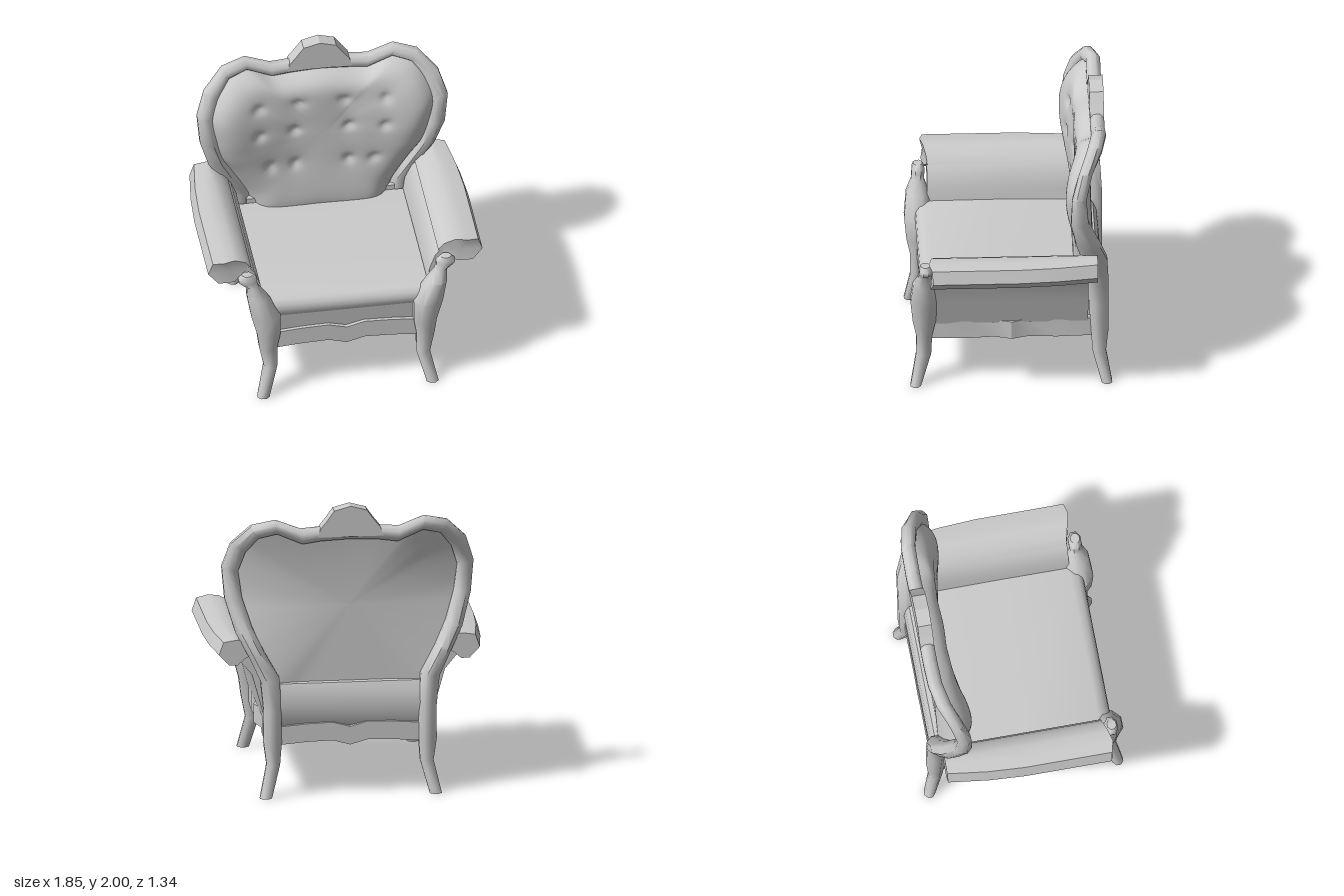
import * as THREE from 'three';
import { toCreasedNormals } from 'three/addons/utils/BufferGeometryUtils.js';

const material = new THREE.MeshStandardMaterial({ color: 0xcccccc });
const thin = new THREE.MeshStandardMaterial({ color: 0xcccccc, side: THREE.DoubleSide });

// Skin a list of equal-length rings, cap both ends, and make the faces point outward.
function loft(rings, crease = 0.75) {
  const n = rings[0].length, p = rings.flat(), tris = [];
  for (let i = 0; i < rings.length - 1; i++) {
    for (let j = 0; j < n; j++) {
      const a = i * n + j, b = i * n + (j + 1) % n;
      tris.push([a, b, b + n], [a, b + n, a + n]);
    }
  }
  for (const [start, flip] of [[0, true], [(rings.length - 1) * n, false]]) {
    const shape = rings[start / n];
    const mid = shape.reduce((s, v) => s.add(v), new THREE.Vector3()).divideScalar(n);
    const m = p.push(mid) - 1;
    for (let j = 0; j < n; j++) {
      const a = start + j, b = start + (j + 1) % n;
      tris.push(flip ? [m, b, a] : [m, a, b]);
    }
  }
  let volume = 0;
  for (const [a, b, c] of tris) volume += p[a].dot(new THREE.Vector3().crossVectors(p[b], p[c]));
  if (volume < 0) tris.forEach(t => t.reverse());
  const geo = new THREE.BufferGeometry().setFromPoints(p);
  geo.setIndex(tris.flat());
  return toCreasedNormals(geo, crease);
}

// Eight-sided ring spanning outer to inner edge and front to back depth.
function octagon(ox, oy, ix, iy, zf, zb) {
  const ring = [];
  for (let k = 0; k < 8; k++) {
    const t = (k + 0.5) * Math.PI / 4, c = Math.cos(t) * 0.54, s = Math.sin(t) * 0.54;
    ring.push(new THREE.Vector3((ox + ix) / 2 + (ox - ix) * c, (oy + iy) / 2 + (oy - iy) * c,
      (zf + zb) / 2 + (zf - zb) * s));
  }
  return ring;
}

const shapeOf = pts => new THREE.Shape(pts.map(([x, y]) => new THREE.Vector2(x, y)));
const extrude = (pts, depth) =>
  new THREE.ExtrudeGeometry(shapeOf(pts), { depth, bevelEnabled: false });

// Prism along x from a (z, y) profile.
const alongX = (pts, half) => loft([-half, half].map(x =>
  pts.map(([z, y]) => new THREE.Vector3(x, y, z))), 0.9);

// Backrest outline, right half from bottom to top: x, y, edge depth.
const half = [
  [0.40, 0.6, -0.55], [0.49, 0.8, -0.56], [0.61, 1.02, -0.53], [0.70, 1.18, -0.49],
  [0.74, 1.36, -0.45], [0.765, 1.54, -0.445], [0.71, 1.69, -0.48], [0.625, 1.80, -0.54],
  [0.49, 1.835, -0.58], [0.32, 1.77, -0.58],
];
const outline = new THREE.CatmullRomCurve3([
  [0, 0.6, -0.55], ...half, [0, 1.79, -0.58],
  ...half.slice().reverse().map(([x, y, z]) => [-x, y, z]),
].map(v => new THREE.Vector3(...v)), true, 'centripetal').getPoints(120).slice(0, -1);

// Button rows of the tufting: height and distances from the middle.
const buttons = [[1.58, 0.155, 0.43], [1.365, 0.183, 0.425], [1.085, 0.18, 0.35]]
  .flatMap(([y, a, b]) => [-b, -a, a, b].map(x => [x, y]));

// Surface of concentric rings filling the outline; padded for the cushion.
function backSurface(padded) {
  const rows = padded ? 36 : 10, n = outline.length, pos = [], idx = [];
  for (let i = 0; i <= rows; i++) {
    const s = i / rows;
    for (const e of outline) {
      const x = e.x * s, y = 1.3 + (e.y - 1.3) * s;
      let z = THREE.MathUtils.lerp(-0.545, e.z, s * s);
      if (padded) {
        z += (0.105 + 0.06 * s * s) * (1 - s ** 8);
        for (const [bx, by] of buttons) {
          const d = Math.hypot(x - bx, y - by);
          z -= 0.022 * Math.exp(-((d / 0.035) ** 2)) + 0.008 * Math.exp(-((d / 0.09) ** 2));
        }
      }
      pos.push(x, y, z);
    }
  }
  for (let i = 0; i < rows; i++) {
    for (let j = 0; j < n; j++) {
      const a = i * n + j, b = i * n + (j + 1) % n;
      if (padded) idx.push(a, a + n, b + n, a, b + n, b);
      else idx.push(a, b + n, a + n, a, b, b + n);
    }
  }
  const geo = new THREE.BufferGeometry();
  geo.setAttribute('position', new THREE.Float32BufferAttribute(pos, 3));
  geo.setIndex(idx);
  geo.computeVertexNormals();
  return geo;
}

export function createModel() {
  const chair = new THREE.Group();
  chair.name = 'armchair';
  const add = (name, geo, mat = material) => {
    const mesh = new THREE.Mesh(geo, mat);
    mesh.name = name;
    chair.add(mesh);
    return mesh;
  };

  // Back legs and backrest frame in one sweep: outer x, y, inner x, y, front z, back z
  const frame = [
    [0.61, 0, 0.53, 0, -0.60, -0.67], [0.56, 0.22, 0.47, 0.22, -0.54, -0.63],
    [0.58, 0.37, 0.46, 0.37, -0.53, -0.645], [0.58, 0.6, 0.46, 0.6, -0.515, -0.645],
    [0.60, 0.8, 0.475, 0.82, -0.51, -0.645], [0.685, 0.98, 0.575, 1.0, -0.47, -0.635],
    [0.76, 1.12, 0.65, 1.16, -0.43, -0.585], [0.825, 1.34, 0.71, 1.35, -0.388, -0.505],
    [0.845, 1.56, 0.735, 1.53, -0.395, -0.49], [0.79, 1.73, 0.69, 1.67, -0.44, -0.53],
    [0.66, 1.865, 0.61, 1.78, -0.50, -0.60], [0.50, 1.905, 0.49, 1.815, -0.535, -0.63],
    [0.33, 1.84, 0.32, 1.74, -0.535, -0.63], [0.20, 1.85, 0.20, 1.757, -0.535, -0.63],
  ];
  const mirrored = frame.slice().reverse().map(([a, b, c, d, e, f]) => [-a, b, -c, d, e, f]);
  add('backFrame', loft([...frame, [0, 1.87, 0, 1.767, -0.535, -0.63], ...mirrored]
    .map(r => octagon(...r)), 0.9));

  // Crest on top of the frame
  add('crest', extrude([[-0.22, 1.79], [0.22, 1.79], [0.2, 1.85], [0.16, 1.9], [0.11, 1.97],
    [0, 2], [-0.11, 1.97], [-0.16, 1.9], [-0.2, 1.85]], 0.095)).position.z = -0.63;

  // Backrest
  add('backCushion', backSurface(true), thin);
  add('backPanel', backSurface(false), thin);
  add('lowerBackPad', alongX([[-0.5, 0.47], [-0.58, 0.47], [-0.605, 0.53], [-0.615, 0.62],
    [-0.605, 0.71], [-0.58, 0.77], [-0.5, 0.78]], 0.5));

  // Seat
  add('seatCushion', alongX([[-0.5, 0.6], [-0.5, 0.745], [0, 0.755], [0.52, 0.752], [0.57, 0.74],
    [0.598, 0.71], [0.605, 0.675], [0.598, 0.64], [0.57, 0.6]], 0.555));
  add('seatBase', alongX([[-0.5, 0.45], [-0.5, 0.62], [0.58, 0.62], [0.56, 0.45]], 0.5));

  // Scalloped front and back aprons
  const wave = [[-0.5, 0.48], [-0.3, 0.497], [-0.12, 0.503], [0, 0.47],
    [0.12, 0.503], [0.3, 0.497], [0.5, 0.48]];
  const apron = [...wave.map(([x, y]) => [x, y - 0.125]).reverse(), ...wave].reverse();
  add('frontApron', extrude(apron, 0.1)).position.z = 0.49;
  add('backApron', extrude(apron, 0.09)).position.z = -0.61;

  for (const side of [1, -1]) {
    const label = side > 0 ? 'left' : 'right';
    const ringAt = (pts, z) => pts.map(([x, y, dz = 0]) => new THREE.Vector3(x * side, y, z + dz));

    // Front leg rising into a scroll under the arm: inner x, outer x, y, back z, front z
    const leg = [
      [0.53, 0.61, 0, 0.605, 0.675], [0.47, 0.56, 0.22, 0.535, 0.635],
      [0.47, 0.59, 0.37, 0.53, 0.635], [0.45, 0.605, 0.49, 0.505, 0.66],
      [0.45, 0.645, 0.645, 0.49, 0.675], [0.535, 0.672, 0.80, 0.51, 0.66],
      [0.595, 0.675, 0.885, 0.54, 0.625], [0.605, 0.725, 0.925, 0.535, 0.62],
      [0.605, 0.73, 0.95, 0.535, 0.62], [0.635, 0.705, 0.983, 0.55, 0.61],
    ];
    add(label + 'FrontLeg', loft(leg.map(([a, b, y, z0, z1]) =>
      octagon(b * side, y, a * side, y, z1, z0)), 0.9));

    // Padded arm side, leaning outward
    const body = [[0.5, 0.46], [0.55, 0.46], [0.60, 0.65], [0.65, 0.83], [0.70, 0.93], [0.78, 0.98],
      [0.75, 1.05], [0.67, 1.02], [0.61, 0.95], [0.57, 0.84], [0.555, 0.72], [0.53, 0.6]];
    add(label + 'ArmSide', loft([-0.51, 0.52].map(z => ringAt(body, z))));

    // Arm roll, tapering toward the back
    const roll = [[0.63, 0.985], [0.70, 0.95], [0.75, 0.905], [0.857, 0.908], [0.925, 0.98],
      [0.895, 1.066], [0.82, 1.078], [0.745, 1.08], [0.67, 1.04]];
    const taper = d => roll.map(([x, y]) => [x > 0.8 ? x - d : x, y]);
    const tip = roll.map(([x, y]) => [x, y, -0.25 * Math.abs(x - 0.82)]);
    add(label + 'ArmRoll', loft([ringAt(taper(0.05), -0.565), ringAt(taper(0.015), -0.3),
      ringAt(roll, -0.05), ringAt(tip, 0.562)]));

    // Side apron, waved along its outer face
    const plan = [[0.46, -0.54], [0.545, -0.54], [0.555, -0.3], [0.54, -0.12], [0.575, 0],
      [0.54, 0.12], [0.555, 0.3], [0.545, 0.54], [0.46, 0.54]];
    add(label + 'SideApron', loft([0.345, 0.475].map(y =>
      plan.map(([x, z]) => new THREE.Vector3(x * side, y, z))), 0.4));
  }
  return chair;
}
